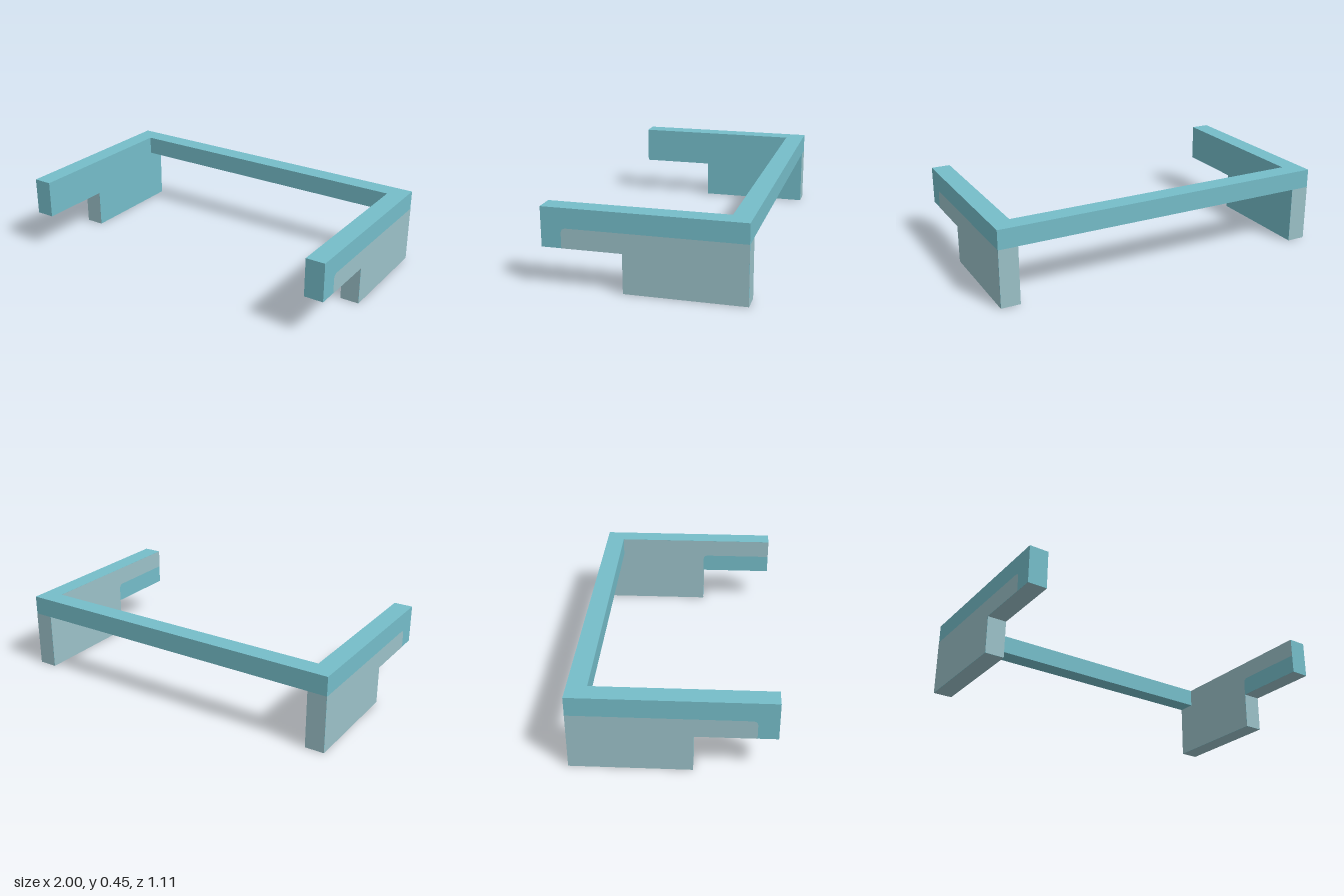
import * as THREE from 'three';

const U = 1 / 9;                      // base module: thickness of every bar
const BACK = -5 * U, FRONT = 5 * U;   // depth limits
const TOP = 4 * U, STEP = 2 * U, LEG = U; // heights and front of the leg
const GAP = 0.001;                    // lift of the painted faces

export function createModel() {
  const model = new THREE.Group();
  const teal = new THREE.MeshStandardMaterial({ color: 0x75bdc9 });
  teal.name = 'teal';
  const gray = new THREE.MeshStandardMaterial({ color: 0x9bc1c8 });
  gray.name = 'paleGray';

  const add = (parent, name, geometry, material, x = 0, y = 0, z = 0) => {
    const mesh = new THREE.Mesh(geometry, material);
    mesh.name = name;
    mesh.position.set(x, y, z);
    parent.add(mesh);
  };

  // Outline in (z, y); side +1 faces +x, -1 faces -x.
  // A third value r on a point rounds that corner.
  const outline = (points, side) => {
    const shape = new THREE.Shape();
    const n = points.length;
    points.forEach(([z, y, r = 0], i) => {
      const toward = ([a, b]) => {
        const d = Math.hypot(a - z, b - y);
        return [-side * (z + (a - z) * r / d), y + (b - y) * r / d];
      };
      const start = toward(points[(i + n - 1) % n]);
      if (i === 0) shape.moveTo(...start);
      else shape.lineTo(...start);
      if (r) shape.quadraticCurveTo(-side * z, y, ...toward(points[(i + 1) % n]));
    });
    return shape;
  };
  const sideFace = (points, side) =>
    new THREE.ShapeGeometry(outline(points, side), 6).rotateY(side * Math.PI / 2);

  // Stepped profile of the arm, and the painted areas on its sides
  const armProfile = [[BACK, 0], [LEG, 0], [LEG, STEP], [FRONT, STEP], [FRONT, TOP], [BACK, TOP]];
  const outerPaint = [[BACK, 0], [LEG, 0], [LEG, STEP], [4 * U, STEP], [4 * U, 3 * U, 0.03], [BACK, 3 * U]];
  const innerPaint = [[BACK, 0], [LEG, 0], [LEG, 3 * U, 0.03], [FRONT, 3 * U], [FRONT, TOP], [BACK, TOP]];

  for (const side of [1, -1]) {
    const arm = new THREE.Group();
    arm.name = side > 0 ? 'leftArm' : 'rightArm';
    model.add(arm);
    const mid = side * (1 - U / 2);

    const body = new THREE.ExtrudeGeometry(outline(armProfile, 1), { depth: U, bevelEnabled: false });
    body.rotateY(Math.PI / 2).translate(-U / 2, 0, 0);
    add(arm, 'armBody', body, teal, mid);

    add(arm, 'outerPanel', sideFace(outerPaint, side), gray, side * (1 + GAP));
    // Only the left arm is painted on its inner side
    if (side > 0) add(arm, 'innerPanel', sideFace(innerPaint, -1), gray, 1 - U - GAP);

    // Ends and undersides of the leg
    add(arm, 'legFront', new THREE.PlaneGeometry(U, STEP), gray, mid, STEP / 2, LEG + GAP);
    add(arm, 'legBack', new THREE.PlaneGeometry(U, 3 * U).rotateY(Math.PI), gray, mid, 1.5 * U, BACK - GAP);
    add(arm, 'legSole', new THREE.PlaneGeometry(U, LEG - BACK).rotateX(Math.PI / 2), gray,
      mid, -GAP, (LEG + BACK) / 2);
    add(arm, 'armUnderside', new THREE.PlaneGeometry(U, FRONT - LEG).rotateX(Math.PI / 2), gray,
      mid, STEP - GAP, (FRONT + LEG) / 2);
  }

  // Rear bar joining the arms
  add(model, 'rearBar', new THREE.BoxGeometry(2 - 2 * U, U, U), teal, 0, TOP - U / 2, BACK + U / 2);

  return model;
}
